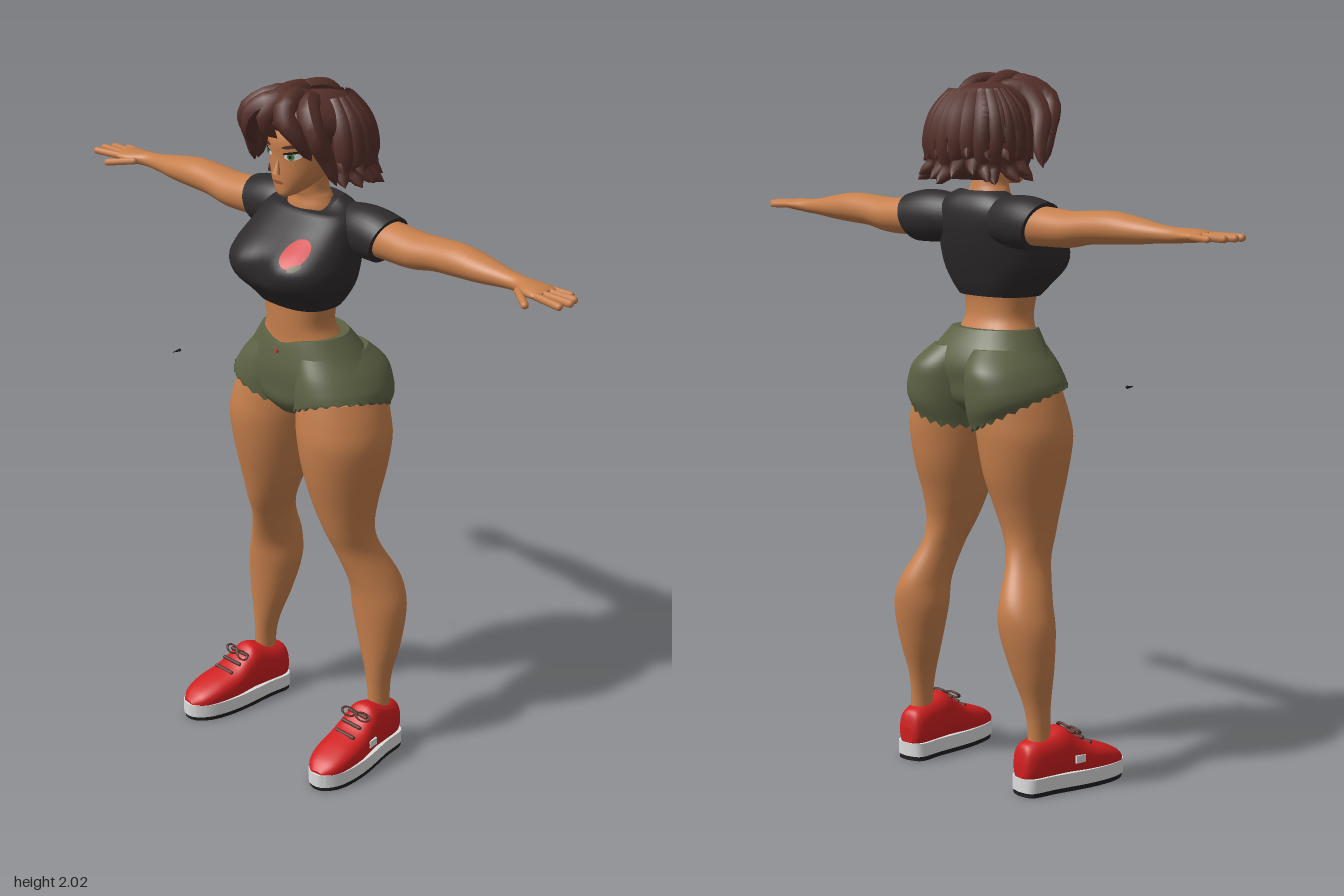
import * as THREE from 'three';
import { mergeVertices, mergeGeometries, toCreasedNormals } from 'three/addons/utils/BufferGeometryUtils.js';

const mat = (name, color) => Object.assign(new THREE.MeshStandardMaterial({ color }), { name });
const V = (x, y, z) => new THREE.Vector3(x, y, z);

// Smooth a list of sections [height, centre x, half width, front z, back z]
function densify(secs, k = 5) {
  const out = [], n = secs.length, at = i => secs[Math.max(0, Math.min(n - 1, i))];
  for (let i = 0; i < n - 1; i++) for (let s = 0; s < k; s++) {
    const t = s / k, [a, b, c, d] = [at(i - 1), at(i), at(i + 1), at(i + 2)];
    out.push(b.map((_, j) => 0.5 * (2 * b[j] + (c[j] - a[j]) * t + (2 * a[j] - 5 * b[j] + 4 * c[j] - d[j]) * t * t
      + (3 * b[j] - a[j] - 3 * c[j] + d[j]) * t * t * t)));
  }
  out.push(secs[n - 1]);
  return out;
}

// Closed skin through rounded sections stacked along y; bend(v, u, i) may move each vertex
function loft(secs, { seg = 32, p = 1, bend } = {}) {
  const rings = densify(secs), pos = [], idx = [], pw = c => Math.sign(c) * Math.abs(c) ** p;
  rings.forEach(([y, cx, rx, f, b], j) => {
    for (let i = 0; i < seg; i++) {
      const a = i / seg * Math.PI * 2;
      const v = V(cx + rx * pw(Math.cos(a)), y, (f + b) / 2 + (f - b) / 2 * pw(Math.sin(a)));
      if (bend) bend(v, j / (rings.length - 1), i);
      pos.push(v.x, v.y, v.z);
    }
  });
  for (let j = 0; j < rings.length - 1; j++) for (let i = 0; i < seg; i++) {
    const a = j * seg + i, b = j * seg + (i + 1) % seg;
    idx.push(a, a + seg, b, b, a + seg, b + seg);
  }
  // End caps with their own ring, so the rim stays sharp
  for (const top of [false, true]) {
    const from = top ? (rings.length - 1) * seg : 0, base = pos.length / 3, c = V(0, 0, 0);
    for (let i = 0; i < seg; i++) {
      const q = pos.slice((from + i) * 3, (from + i) * 3 + 3);
      pos.push(...q);
      c.add(V(...q));
    }
    c.divideScalar(seg);
    pos.push(c.x, c.y, c.z);
    for (let i = 0; i < seg; i++) {
      const a = base + i, b = base + (i + 1) % seg;
      idx.push(base + seg, ...(top ? [b, a] : [a, b]));
    }
  }
  const g = new THREE.BufferGeometry();
  g.setAttribute('position', new THREE.Float32BufferAttribute(pos, 3));
  g.setIndex(idx);
  g.computeVertexNormals();
  return g;
}

// Front depth of a lofted skin at (x, y)
function frontZ(secs, p, x, y) {
  const r = densify(secs), j = Math.max(1, r.findIndex(s => s[0] >= y));
  const t = (y - r[j - 1][0]) / (r[j][0] - r[j - 1][0]);
  const [, , rx, f, b] = r[j].map((v, k) => r[j - 1][k] + (v - r[j - 1][k]) * t);
  return (f + b) / 2 + (f - b) / 2 * Math.max(0, 1 - Math.abs(x / rx) ** (2 / p)) ** (p / 2);
}

// Thin oval decal wrapped on a lofted skin
function decal(secs, p, x, y, rx, ry, tilt = 0, lift = 0.004) {
  const g = new THREE.RingGeometry(0, 1, 20, 4).scale(rx, ry, 1).rotateZ(tilt).translate(x, y, 0), a = g.attributes.position;
  for (let i = 0; i < a.count; i++) a.setZ(i, frontZ(secs, p, a.getX(i), a.getY(i)) + lift);
  g.computeVertexNormals();
  return g;
}

function mirrored(geo) {
  const g = geo.index ? geo.clone() : mergeVertices(geo);
  g.scale(-1, 1, 1);
  g.index.array.reverse();
  return g;
}

// Tapered strand of hair along a curve
function lock(points, r) {
  const curve = new THREE.CatmullRomCurve3(points.map(q => V(...q))), n = 14, m = 8;
  const g = new THREE.TubeGeometry(curve, n, r, m), a = g.attributes.position, v = V(0, 0, 0);
  for (let i = 0; i < a.count; i++) {
    const u = Math.floor(i / (m + 1)) / n;
    v.fromBufferAttribute(a, i).lerp(curve.getPointAt(u), 1 - Math.sqrt(Math.max(0, Math.sin(Math.PI * (0.2 + 0.8 * u)))));
    a.setXYZ(i, v.x, v.y, v.z);
  }
  g.computeVertexNormals();
  return g;
}

function capsule(a, b, r) {
  const d = V(...b).sub(V(...a)), len = d.length();
  return new THREE.CapsuleGeometry(r, len, 4, 10).translate(0, len / 2, 0)
    .applyQuaternion(new THREE.Quaternion().setFromUnitVectors(V(0, 1, 0), d.normalize())).translate(...a);
}

export function createModel() {
  const model = new THREE.Group();
  const skin = mat('skin', 0xc67f4c), hair = mat('hair', 0x55302a), black = mat('shirtBlack', 0x2e2a2c), olive = mat('olive', 0x5d6244),
    red = mat('red', 0xd01f20), white = mat('white', 0xdcdcdc), dark = mat('rubber', 0x201e20), green = mat('irisGreen', 0x4f8a4a), lip = mat('lip', 0x96543a);
  const add = (name, geo, m) => {
    const mesh = new THREE.Mesh(geo, m);
    mesh.name = name;
    model.add(mesh);
  };
  const cap = s => s[0].toUpperCase() + s.slice(1);
  const pair = (name, geo, m) => { add('left' + cap(name), geo, m); add('right' + cap(name), mirrored(geo), m); };

  // Legs
  pair('leg', loft([[0.1, 0.245, 0.03, -0.03, -0.1], [0.19, 0.243, 0.029, -0.028, -0.1], [0.26, 0.238, 0.038, -0.025, -0.11],
    [0.36, 0.23, 0.065, -0.018, -0.14], [0.47, 0.218, 0.082, -0.008, -0.165], [0.55, 0.206, 0.068, 0.003, -0.162], [0.65, 0.176, 0.052, 0.035, -0.115],
    [0.72, 0.16, 0.065, 0.062, -0.1], [0.8, 0.148, 0.088, 0.085, -0.115], [0.9, 0.142, 0.113, 0.11, -0.145], [1.0, 0.139, 0.13, 0.124, -0.16],
    [1.07, 0.128, 0.126, 0.12, -0.163], [1.13, 0.117, 0.112, 0.112, -0.165]]), skin);

  // Waist, neck and head
  add('midriff', loft([[1.25, 0, 0.14, 0.1, -0.09], [1.29, 0, 0.122, 0.098, -0.078], [1.33, 0, 0.105, 0.1, -0.062],
    [1.38, 0, 0.113, 0.102, -0.06], [1.43, 0, 0.13, 0.105, -0.07]], { p: 0.9 }), skin);
  add('neck', loft([[1.58, 0, 0.08, 0.03, -0.09], [1.65, 0, 0.078, 0.035, -0.085], [1.685, 0, 0.064, 0.03, -0.075],
    [1.71, 0, 0.052, 0.035, -0.07], [1.78, 0, 0.05, 0.04, -0.06]]), skin);
  const head = [[1.7, 0, 0.012, 0.088, 0.06], [1.708, 0, 0.028, 0.098, 0.03], [1.73, 0, 0.052, 0.101, -0.02], [1.765, 0, 0.075, 0.103, -0.07],
    [1.81, 0, 0.085, 0.104, -0.1], [1.87, 0, 0.088, 0.106, -0.12], [1.93, 0, 0.07, 0.07, -0.1], [1.96, 0, 0.02, 0, -0.04]];
  add('head', loft(head, { p: 0.9 }), skin);
  add('nose', new THREE.ConeGeometry(0.012, 0.05, 12).scale(1, 1, 0.9).rotateX(-0.2).translate(0, 1.792, 0.106), skin);
  add('mouth', decal(head, 0.9, 0, 1.744, 0.02, 0.005), lip);
  pair('ear', new THREE.SphereGeometry(1, 16, 12).scale(0.012, 0.03, 0.02).rotateY(0.4).translate(0.09, 1.79, 0.0), skin);
  pair('eyeWhite', decal(head, 0.9, 0.045, 1.822, 0.021, 0.01, 0.15, 0.002), white);
  pair('iris', decal(head, 0.9, 0.043, 1.822, 0.009, 0.01, 0, 0.004), green);
  pair('pupil', decal(head, 0.9, 0.043, 1.822, 0.004, 0.005, 0, 0.006), dark);
  pair('upperLid', decal(head, 0.9, 0.046, 1.833, 0.024, 0.0035, 0.2, 0.006), dark);
  pair('eyebrow', decal(head, 0.9, 0.047, 1.851, 0.027, 0.005, 0.22, 0.005), hair);

  // Arms and hands, lofted along x
  const alongX = (secs, o) => loft(secs.map(([x, y, ry, f, b]) => [x, -y, ry, f, b]), o).rotateZ(-Math.PI / 2);
  pair('arm', alongX([[0.16, 1.6, 0.055, -0.015, -0.125], [0.27, 1.6, 0.054, -0.008, -0.13], [0.36, 1.598, 0.05, -0.006, -0.128],
    [0.44, 1.607, 0.045, -0.012, -0.122], [0.52, 1.611, 0.044, -0.014, -0.118], [0.6, 1.608, 0.036, -0.02, -0.11], [0.68, 1.605, 0.025, -0.034, -0.094],
    [0.73, 1.604, 0.021, -0.036, -0.089], [0.77, 1.605, 0.019, -0.015, -0.094], [0.81, 1.606, 0.016, -0.006, -0.096], [0.83, 1.606, 0.01, -0.012, -0.088]]), skin);
  const fingers = [[[0.8, 1.606, -0.086], [0.868, 1.603, -0.096]], [[0.81, 1.607, -0.064], [0.9, 1.605, -0.07]], [[0.81, 1.607, -0.041], [0.912, 1.606, -0.04]],
    [[0.81, 1.606, -0.019], [0.905, 1.605, -0.005]], [[0.755, 1.602, -0.022], [0.82, 1.594, 0.026]]];
  fingers.forEach(([a, b], i) => pair(i < 4 ? 'finger' + (i + 1) : 'thumb', capsule(a, b, i ? 0.0105 : 0.009), skin));

  // Cropped shirt with scooped neck and slanted sleeves
  const shirt = [[1.39, 0, 0.125, 0.11, -0.068], [1.42, 0, 0.15, 0.135, -0.082], [1.465, 0, 0.179, 0.18, -0.098], [1.51, 0, 0.186, 0.196, -0.112],
    [1.55, 0, 0.18, 0.175, -0.122], [1.6, 0, 0.168, 0.11, -0.13], [1.64, 0, 0.155, 0.06, -0.127], [1.67, 0, 0.12, 0.03, -0.112], [1.687, 0, 0.086, 0.018, -0.092]];
  add('shirt', loft(shirt, { seg: 48, p: 0.8, bend: (v, u) => {
    if (v.z > 0.03) v.z -= 0.028 * Math.exp(-((v.x / 0.045) ** 2) - ((v.y - 1.51) / 0.05) ** 2);
    v.y -= 0.035 * Math.max(0, u - 0.8) * 5 * Math.max(0, Math.min(1, (v.z + 0.04) / 0.05));
  } }), black);
  const sleeve = alongX([[0.06, 1.61, 0.06, -0.02, -0.115], [0.13, 1.61, 0.07, 0.0, -0.132], [0.19, 1.605, 0.073, 0.006, -0.14],
    [0.25, 1.598, 0.067, 0.005, -0.142]]);
  const sp = sleeve.attributes.position;
  for (let i = 0; i < sp.count; i++) sp.setX(i, sp.getX(i) + (sp.getY(i) - 1.6) * 0.35);
  sleeve.computeVertexNormals();
  pair('sleeve', sleeve, black);
  add('flowerPatch', decal(shirt, 0.8, 0.1, 1.57, 0.036, 0.032, -0.5, 0.005), red);
  add('leafPatch', decal(shirt, 0.8, 0.122, 1.54, 0.016, 0.008, 0.5, 0.007), olive);

  // Shorts with a frayed, slanted hem
  add('shortsSeat', loft([[1.06, 0, 0.06, 0.08, -0.1], [1.1, 0, 0.15, 0.112, -0.14], [1.15, 0, 0.225, 0.117, -0.15], [1.2, 0, 0.208, 0.12, -0.158],
    [1.25, 0, 0.17, 0.115, -0.14], [1.3, 0, 0.132, 0.107, -0.105]], { p: 0.9, bend: (v, u) => {
    if (v.z > 0) v.y -= 0.025 * u ** 4 * Math.exp(-((v.x / 0.06) ** 2));
  } }), olive);
  pair('shortsLeg', loft([[1.08, 0.123, 0.124, 0.125, -0.172], [1.11, 0.122, 0.124, 0.126, -0.19], [1.15, 0.116, 0.122, 0.124, -0.194],
    [1.2, 0.105, 0.106, 0.116, -0.187], [1.25, 0.08, 0.086, 0.1, -0.14]], { seg: 48, bend: (v, u, i) => {
    v.y += (1 - u) ** 2 * ((v.x - 0.1) * 0.4 + v.z * 0.25) + (u === 0 ? (i % 2 ? 0.006 : -0.008) : 0);
  } }), olive);
  add('shortsButton', new THREE.CylinderGeometry(0.008, 0.008, 0.008, 14).rotateX(Math.PI / 2).translate(0, 1.255, 0.116), lip);

  // Hair: crown, hanging locks around the sides and back, swept fringe
  add('hairCrown', loft([[1.72, 0, 0.09, -0.06, -0.15], [1.76, 0, 0.125, -0.02, -0.18], [1.82, 0, 0.135, 0.01, -0.19], [1.86, 0, 0.133, 0.06, -0.188],
    [1.9, 0, 0.125, 0.118, -0.176], [1.94, 0, 0.105, 0.115, -0.15], [1.975, 0, 0.06, 0.07, -0.1], [1.988, 0, 0.01, 0.0, -0.02]]), hair);
  let seed = 7;
  const rnd = () => (seed = (seed * 16807) % 2147483647) / 2147483647;
  const locks = [];
  for (const [count, reach, low, r] of [[15, 0.165, 1.705, 0.032], [12, 0.155, 1.76, 0.03]])
    for (let i = 0; i < count; i++) {
      const a = -0.3 + (Math.PI + 0.6) * i / (count - 1), tip = reach + rnd() * 0.02, y = low + rnd() * 0.035, sw = (rnd() - 0.5) * 0.3;
      const at = (rad, h, t = 0) => [Math.cos(a + t) * rad, h, -0.055 - Math.sin(a + t) * rad * 0.95];
      locks.push(lock([at(0.07, 1.955), at(0.118, 1.89), at(0.137, 1.81), at(0.128, y + 0.04, sw / 2), at(tip, y, sw)], r));
    }
  const fringe = [
    [[0.04, 1.94, -0.03], [0.02, 1.975, 0.08], [-0.03, 1.955, 0.15], [-0.07, 1.89, 0.145], [-0.095, 1.83, 0.1]],
    [[0.03, 1.95, -0.02], [-0.03, 1.975, 0.08], [-0.09, 1.93, 0.125], [-0.13, 1.85, 0.08], [-0.15, 1.76, 0.05]],
    [[0.0, 1.95, -0.04], [-0.07, 1.96, 0.04], [-0.13, 1.9, 0.05], [-0.155, 1.82, 0.02], [-0.18, 1.75, 0.01]],
    [[0.0, 1.94, -0.02], [0.03, 1.978, 0.08], [0.06, 1.945, 0.14], [0.095, 1.89, 0.12], [0.105, 1.82, 0.08]],
    [[0.02, 1.95, -0.02], [0.07, 1.96, 0.06], [0.12, 1.9, 0.085], [0.135, 1.82, 0.05], [0.15, 1.75, 0.03]],
    [[-0.02, 1.95, -0.06], [0.0, 1.985, 0.04], [0.01, 1.965, 0.13], [0.0, 1.92, 0.155], [0.02, 1.875, 0.125]]];
  fringe.forEach(q => locks.push(lock(q, 0.032)));
  locks.push(lock([[0.03, 1.93, -0.12], [0.02, 1.985, -0.06], [-0.01, 1.988, 0.02], [-0.05, 1.965, 0.06]], 0.02));
  add('hairLocks', mergeGeometries(locks), hair);

  // Trainers, slightly toed out
  const place = g => g.rotateY(0.12).translate(0.25, 0, 0);
  const half = [[0.045, -0.12], [0.052, -0.04], [0.066, 0.08], [0.06, 0.17], [0.034, 0.22]];
  const outline = [[0, -0.138], ...half, [0, 0.235], ...half.map(([x, z]) => [-x, z]).reverse(), [0, -0.138]];
  const shape = new THREE.Shape(new THREE.SplineCurve(outline.map(q => new THREE.Vector2(...q))).getPoints(60).slice(0, -1));
  const slab = (depth, top, s) => place(toCreasedNormals(new THREE.ExtrudeGeometry(shape, { depth, bevelEnabled: false })
    .rotateX(Math.PI / 2).scale(s, 1, s).translate(0, top, 0), 0.7));
  pair('midsole', slab(0.04, 0.053, 1), white);
  pair('outsole', slab(0.014, 0.014, 0.98), dark);
  pair('shoeUpper', place(loft([[-0.134, 0, 0.02, 0.1, 0.05], [-0.125, 0, 0.036, 0.14, 0.035], [-0.1, 0, 0.047, 0.155, 0.03], [-0.05, 0, 0.051, 0.168, 0.03],
    [0.0, 0, 0.055, 0.182, 0.03], [0.03, 0, 0.058, 0.165, 0.03], [0.08, 0, 0.064, 0.13, 0.03], [0.15, 0, 0.062, 0.107, 0.03], [0.2, 0, 0.048, 0.085, 0.03],
    [0.228, 0, 0.02, 0.06, 0.04]].map(([z, x, r, top, low]) => [z, x, r, -low, -top]), { p: 0.8 }).rotateX(Math.PI / 2)), red);
  const laces = [[0.03, 0.168], [0.06, 0.147], [0.09, 0.128]].map(([z, y]) => capsule([-0.032, y - 0.006, z], [0.032, y - 0.006, z + 0.008], 0.006));
  for (const s of [-1, 1]) laces.push(new THREE.TorusGeometry(0.02, 0.004, 6, 16).scale(1.2, 0.6, 1).rotateX(-0.6).translate(s * 0.026, 0.165, 0.045));
  pair('laces', place(mergeGeometries(laces)), hair);
  pair('sidePanel', place(new THREE.BoxGeometry(0.008, 0.022, 0.032).translate(0.06, 0.09, 0.04)), white);

  // Tiny loose scrap beside the hip
  add('looseScrap', new THREE.ConeGeometry(0.005, 0.03, 6).rotateX(Math.PI / 2).translate(-0.385, 1.15, 0.15), dark);
  return model;
}
